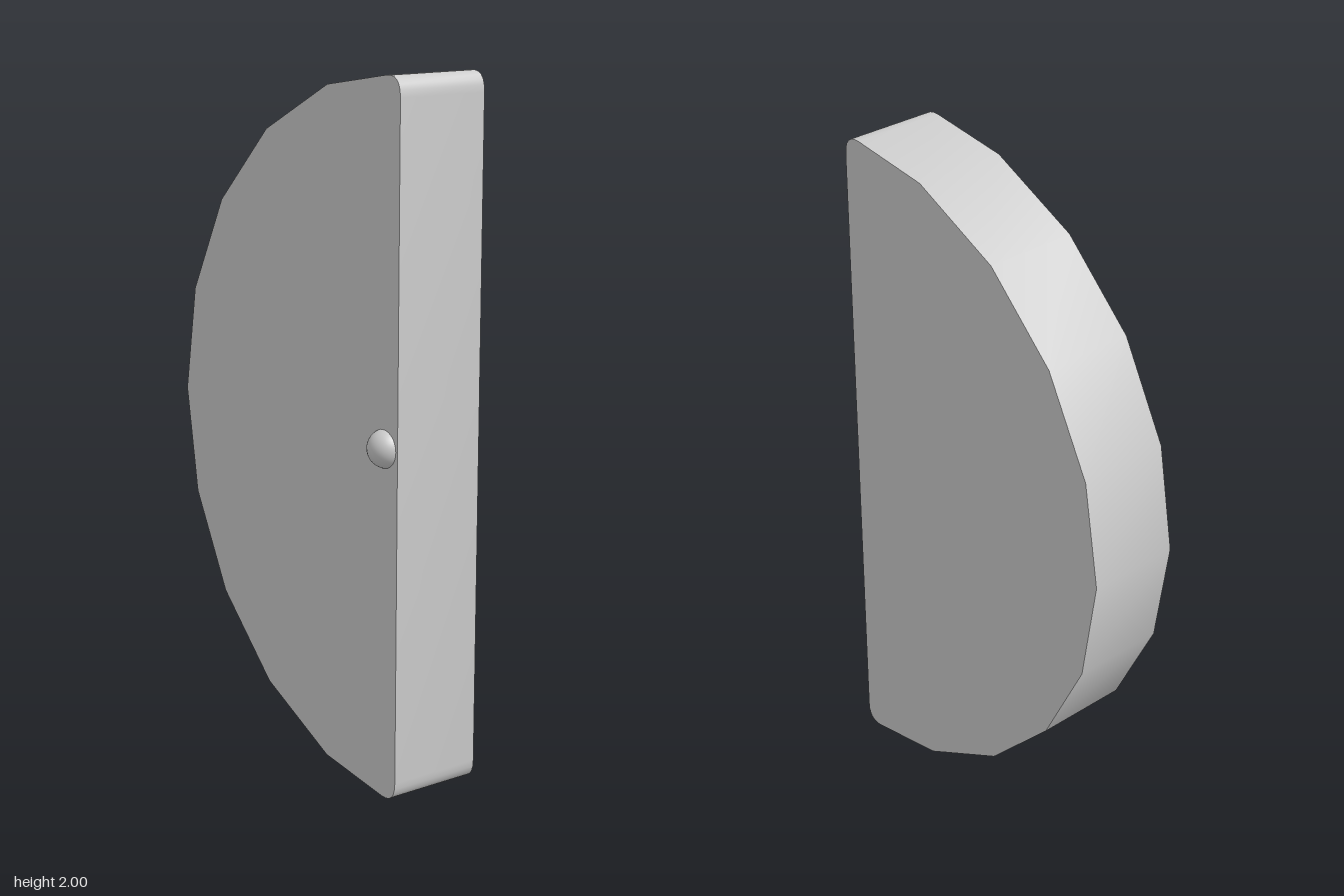
import * as THREE from 'three';
import { toCreasedNormals } from 'three/addons/utils/BufferGeometryUtils.js';

export function createModel() {
  const group = new THREE.Group();
  const material = new THREE.MeshStandardMaterial({ color: 0xcccccc });
  const edge = 0.503, radius = 1.008, back = -0.165, front = 0.122;

  // Half-disc outline: 18 degree facets, with the two straight-edge corners rounded
  const corner = 0.058;
  const shape = new THREE.Shape();
  shape.moveTo(edge, 1.945);
  shape.quadraticCurveTo(edge, 1 + radius, edge - corner, 2);
  for (let i = 1; i <= 9; i++) {
    const a = Math.PI / 2 + (i * Math.PI) / 10;
    shape.lineTo(edge + radius * Math.cos(a), 1 + radius * Math.sin(a));
  }
  shape.lineTo(edge - corner, 0);
  shape.quadraticCurveTo(edge, 1 - radius, edge, 0.055);
  shape.closePath();

  // Thick slab, smooth around the rim and sharp at the faces
  const slab = new THREE.ExtrudeGeometry(shape, {
    depth: front - back, bevelEnabled: false, curveSegments: 6,
  });
  slab.translate(0, 0, back);
  const panel = new THREE.Mesh(toCreasedNormals(slab, 0.6), material);
  panel.name = 'halfRoundPanel';
  group.add(panel);

  // Small round knob half sunk into the front face
  const knob = new THREE.Mesh(new THREE.SphereGeometry(0.055, 32, 20), material);
  knob.name = 'knob';
  knob.position.set(0.442, 1, 0.11);
  group.add(knob);

  return group;
}
